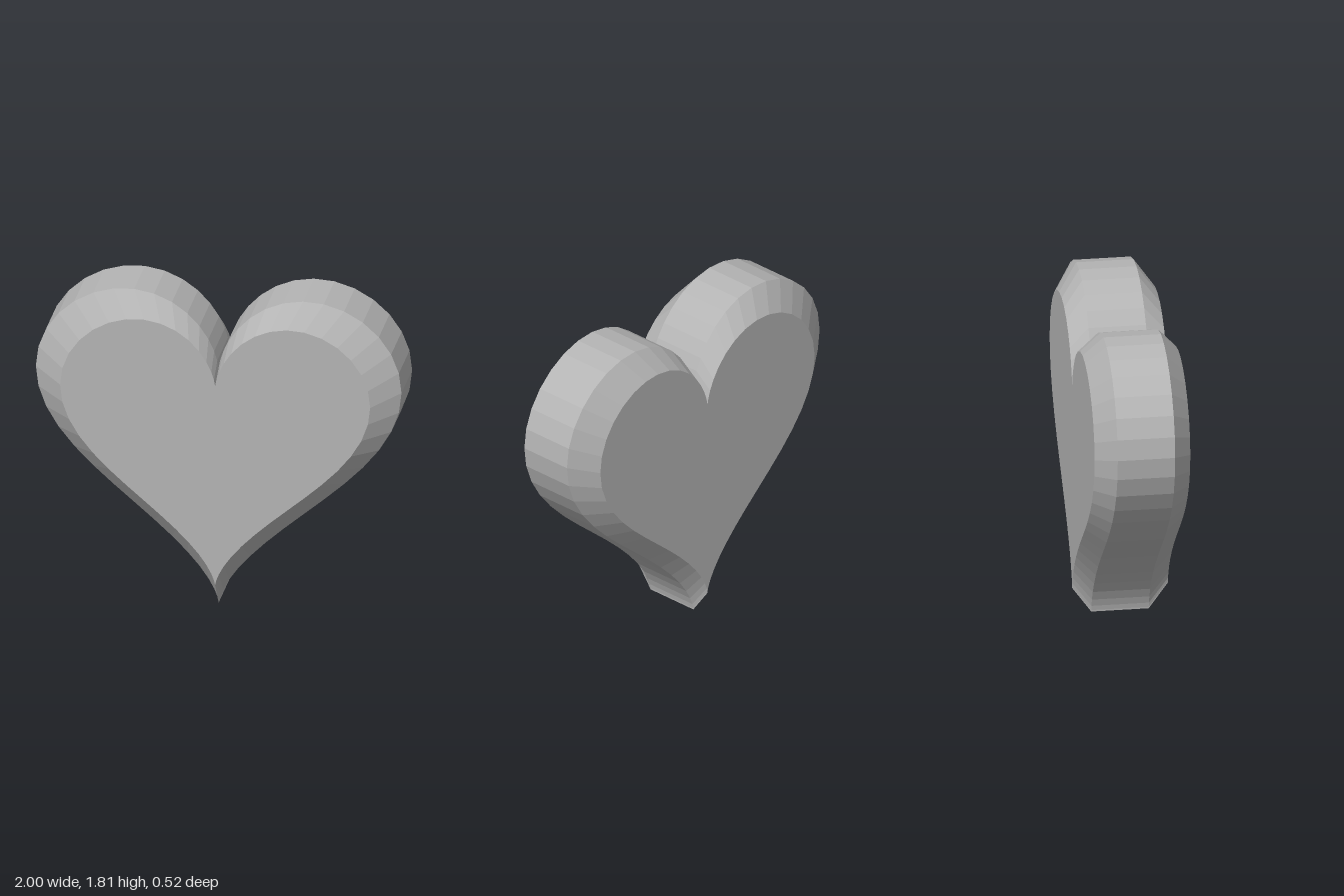
import * as THREE from 'three';

const SEGMENTS = 64;
const INNER = 0.848;   // size of the flat faces relative to the outline
const PIVOT_Y = 0.953; // height the outline shrinks towards
const RIM_Z = 0.156, FACE_Z = 0.26;

// Heart outline, counter-clockwise from the cleft
function heartOutline(scale) {
  const points = [];
  for (let i = 0; i < SEGMENTS; i++) {
    const t = -(i / SEGMENTS) * Math.PI * 2;
    const x = Math.sin(t) ** 3;
    const y = (17 + 13 * Math.cos(t) - 5 * Math.cos(2 * t) - 2 * Math.cos(3 * t) - Math.cos(4 * t)) / 16;
    points.push(new THREE.Vector2(x * scale, PIVOT_Y + (y - PIVOT_Y) * scale));
  }
  return points;
}

// Flat-faceted band joining a back outline to a front outline
function band(back, zBack, front, zFront) {
  const positions = [];
  for (let i = 0; i < SEGMENTS; i++) {
    const j = (i + 1) % SEGMENTS;
    const a = [back[i].x, back[i].y, zBack], b = [back[j].x, back[j].y, zBack];
    const c = [front[j].x, front[j].y, zFront], d = [front[i].x, front[i].y, zFront];
    positions.push(...a, ...b, ...c, ...a, ...c, ...d);
  }
  const geometry = new THREE.BufferGeometry();
  geometry.setAttribute('position', new THREE.Float32BufferAttribute(positions, 3));
  geometry.computeVertexNormals();
  return geometry;
}

export function createModel() {
  const group = new THREE.Group();
  group.name = 'heart';
  const grey = new THREE.MeshStandardMaterial({ color: 0xb4b4b4, flatShading: true });
  grey.name = 'grey';

  const add = (name, geometry) => {
    const mesh = new THREE.Mesh(geometry, grey);
    mesh.name = name;
    group.add(mesh);
    return mesh;
  };

  const outer = heartOutline(1);
  const inner = heartOutline(INNER);

  // Straight rim and the two sloping bevels
  add('rim', band(outer, -RIM_Z, outer, RIM_Z));
  add('frontBevel', band(outer, RIM_Z, inner, FACE_Z));
  add('backBevel', band(inner, -FACE_Z, outer, -RIM_Z));

  // Flat front and back faces
  const face = new THREE.ShapeGeometry(new THREE.Shape(inner));
  add('frontFace', face).position.z = FACE_Z;
  const backFace = add('backFace', face);
  backFace.position.z = -FACE_Z;
  backFace.rotation.y = Math.PI;

  return group;
}
